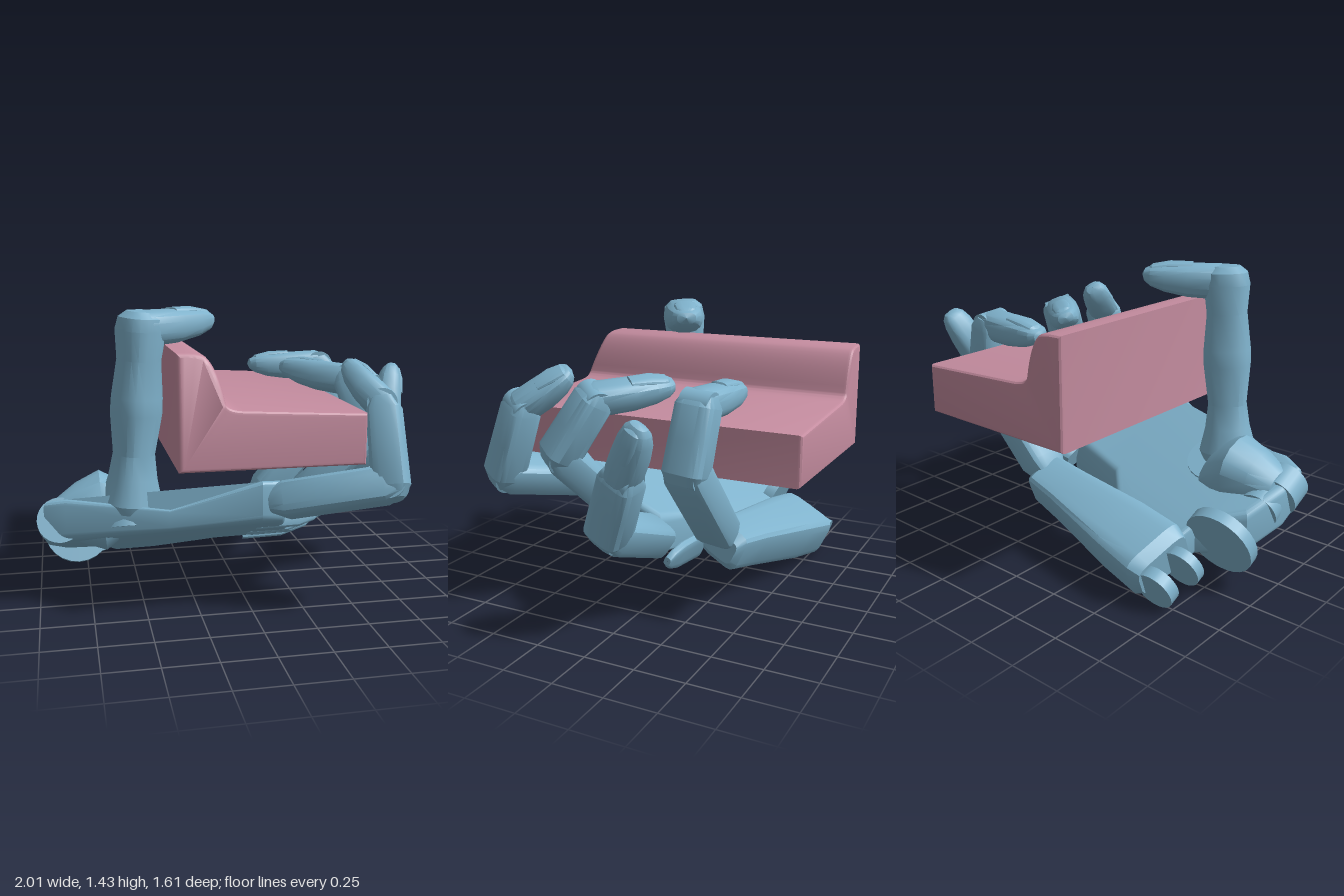
import * as THREE from 'three';
import { toCreasedNormals } from 'three/addons/utils/BufferGeometryUtils.js';

const blue = new THREE.MeshStandardMaterial({ color: 0x7fb2cc });
const pink = new THREE.MeshStandardMaterial({ color: 0xc48c9f });
const V = (x, y, z) => new THREE.Vector3(x, y, z);
const SLOPE = 0.43;
const palmY = z => 0.21 + SLOPE * z; // underside of the tilted palm
const across = V(0, SLOPE, 1).normalize(); // hinge direction of the wrist

function mesh(name, geometry, material = blue) {
  const m = new THREE.Mesh(geometry, material);
  m.name = name;
  return m;
}

// Loft of rounded-box sections; stations are [t, half width, half depth, lift]
function loft(name, a, b, hinge, stations, power = 0.5, sides = 16) {
  const dir = b.clone().sub(a).normalize();
  const h = hinge.clone().addScaledVector(dir, -hinge.dot(dir)).normalize();
  const q = dir.clone().cross(h);
  const soft = c => Math.sign(c) * Math.abs(c) ** power;
  const pos = [], index = [];
  stations.forEach(([t, w, d, lift = 0], i) => {
    for (let j = 0; j < sides; j++) {
      const ang = (j + 0.5) / sides * Math.PI * 2;
      const p = a.clone().lerp(b, t)
        .addScaledVector(h, w * soft(Math.cos(ang)))
        .addScaledVector(q, d * soft(Math.sin(ang)) + lift);
      pos.push(p.x, p.y, p.z);
      if (i === 0) continue;
      const k = (j + 1) % sides, r = i * sides, s = r - sides;
      index.push(s + j, s + k, r + j, s + k, r + k, r + j);
    }
  });
  const g = new THREE.BufferGeometry();
  g.setAttribute('position', new THREE.Float32BufferAttribute(pos, 3));
  g.setIndex(index);
  return mesh(name, toCreasedNormals(g, 0.5));
}

// Phalanx with chamfered ends
const bone = (w0, d0, w1, d1) => [
  [0, 0.001, 0.001], [0, w0 * 0.75, d0 * 0.65], [0.12, w0, d0], [0.5, (w0 + w1) / 2, (d0 + d1) / 2],
  [0.88, w1, d1], [1, w1 * 0.8, d1 * 0.65], [1, 0.001, 0.001]];

// Rounded fingertip, slimmer on the pad side
const tipStations = (w, d) => [
  [0, 0.001, 0.001], [0, w * 0.8, d * 0.8], [0.1, w, d], [0.5, w, d * 0.95], [0.75, w * 0.92, d * 0.8, 0.006],
  [0.9, w * 0.75, d * 0.58, 0.012], [0.97, w * 0.5, d * 0.34, 0.016], [1, 0.001, 0.001, 0.018]];

function fingertip(g, a, b, hinge, w, d) {
  g.add(loft('fingertip', a, b, hinge, tipStations(w, d), 0.75));
  g.add(loft('nail', a.clone().lerp(b, 0.45), a.clone().lerp(b, 0.97), hinge, [
    [0, 0.001, 0.001, d * 0.8], [0.04, w * 0.5, 0.02, d * 0.8], [0.5, w * 0.6, 0.025, d * 0.72],
    [0.85, w * 0.5, 0.02, d * 0.57], [1, 0.001, 0.001, d * 0.45]], 0.7));
}

function joint(name, p, axis, r, len) {
  const m = mesh(name, new THREE.CylinderGeometry(r, r, len, 24));
  m.position.copy(p);
  m.quaternion.setFromUnitVectors(V(0, 1, 0), axis);
  return m;
}

function finger(name, [p0, p1, p2, p3], forked) {
  const g = new THREE.Group();
  g.name = name;
  const hinge = p1.clone().sub(p0).cross(p3.clone().sub(p1)).normalize();
  const toward = (a, b, s) => a.clone().addScaledVector(b.clone().sub(a).normalize(), s);
  g.add(loft('proximalBone', p0, toward(p1, p0, -0.05), hinge, bone(0.105, 0.088, 0.103, 0.088)));
  g.add(loft('middleBone', toward(p1, p2, -0.06), toward(p2, p1, -0.045), hinge, bone(0.1, 0.088, 0.097, 0.08)));
  g.add(joint('fingerJoint', p1, hinge, 0.075, 0.15), joint('fingerJoint', p2, hinge, 0.07, 0.14));
  fingertip(g, toward(p2, p3, -0.03), p3, hinge, 0.082, 0.077);
  // Fork plates holding the knuckle
  if (forked) for (const s of [-1, 1]) {
    const c = p0.clone().addScaledVector(across, s * 0.11).add(V(0, -0.02, 0));
    g.add(loft('knuckleFork', c.clone().add(V(-0.2, -0.02, -0.03)), c.clone().add(V(0.12, -0.01, 0)), across, [
      [0, 0.001, 0.001], [0, 0.025, 0.08], [0.65, 0.025, 0.075], [0.9, 0.022, 0.05], [1, 0.018, 0.02], [1, 0.001, 0.001]]));
  }
  return g;
}

function createBlock() {
  const s = new THREE.Shape();
  s.moveTo(-0.35, 0.75);
  s.lineTo(0.47, 0.75);
  s.lineTo(0.47, 0.95);
  s.lineTo(-0.08, 0.98);
  s.quadraticCurveTo(-0.17, 0.985, -0.18, 1.03);
  s.quadraticCurveTo(-0.205, 1.17, -0.25, 1.215);
  s.quadraticCurveTo(-0.27, 1.23, -0.35, 1.23);
  s.closePath();
  const g = new THREE.ExtrudeGeometry(s, {
    depth: 1.44, bevelEnabled: true, bevelSize: 0.02, bevelThickness: 0.02, bevelSegments: 3, curveSegments: 8 });
  g.translate(0, 0, -0.78);
  // Slope the front end of the ridge
  const p = g.attributes.position;
  for (let i = 0; i < p.count; i++) {
    if (p.getZ(i) > 0 && p.getY(i) > 1.02) p.setZ(i, p.getZ(i) - (p.getY(i) - 1.02) * 0.35);
  }
  return mesh('heldBlock', toCreasedNormals(g, 0.5), pink);
}

function createPalm() {
  const outline = [[-0.93, 0.08], [-0.93, 0.2], [-0.85, 0.24], [-0.37, 0.37], [0.04, 0.5], [0.12, 0.48],
    [0.18, 0.28], [0.25, 0.1], [0.25, 0.02], [-0.08, -0.06], [-0.38, -0.36], [-0.58, -0.4], [-0.64, -0.2], [-0.86, -0.1]];
  const s = new THREE.Shape(outline.map(([x, z]) => new THREE.Vector2(x, -z)));
  const g = new THREE.ExtrudeGeometry(s, {
    depth: 0.13, bevelEnabled: true, bevelSize: 0.035, bevelThickness: 0.035, bevelSegments: 4 });
  g.rotateX(-Math.PI / 2);
  // Tilt the slab and thin it towards the middle of the palm
  const p = g.attributes.position;
  for (let i = 0; i < p.count; i++) {
    const thick = 0.55 + 0.5 * Math.min(1, Math.abs(p.getX(i) + 0.37) / 0.42);
    p.setY(i, (p.getY(i) + 0.035) * thick + palmY(p.getZ(i)));
  }
  return mesh('palm', toCreasedNormals(g, 0.5));
}

export function createModel() {
  const root = new THREE.Group();
  root.name = 'handHoldingBlock';
  root.add(createBlock(), createPalm());

  // Outer palm segment carrying the little finger, widening to the wrist
  root.add(loft('outerPalm', V(-0.66, 0.16, -0.45), V(0.24, 0.3, -0.31), V(0, 0.42, 0.9), [
    [0, 0.001, 0.001], [0, 0.15, 0.08], [0.06, 0.17, 0.12], [0.3, 0.16, 0.125],
    [0.75, 0.12, 0.11], [0.95, 0.11, 0.1], [1, 0.09, 0.06], [1, 0.001, 0.001]], 0.4));

  // Wrist hinge plates: [x, z, radius, thickness]
  const plates = [[-0.68, -0.53, 0.1, 0.06], [-0.72, -0.39, 0.1, 0.05], [-0.8, -0.2, 0.175, 0.06],
    [-0.86, 0.04, 0.1, 0.07], [-0.89, 0.17, 0.11, 0.13]];
  for (const [x, z, r, t] of plates) {
    root.add(joint('wristPlate', V(x, palmY(z) + 0.11, z), across, r, t));
  }

  // Thumb on its round mount, with a broad raised web behind it
  const thumb = new THREE.Group();
  thumb.name = 'thumb';
  const hinge = V(0.42, 0, 0.75).normalize();
  thumb.add(joint('thumbMount', V(-0.55, 0.41, 0.18), V(0, 1, -SLOPE).normalize(), 0.17, 0.14));
  thumb.add(loft('thumbWeb', V(-0.92, 0.41, 0.12), V(-0.52, 0.44, 0.13), across, [
    [0, 0.001, 0.001], [0.04, 0.1, 0.08], [0.3, 0.14, 0.15], [0.6, 0.17, 0.2], [0.75, 0.17, 0.16],
    [0.95, 0.15, 0.08], [1, 0.001, 0.001]], 0.9));
  thumb.add(loft('thumbColumn', V(-0.55, 0.42, 0.22), V(-0.48, 1.4, 0.25), hinge, [
    [0, 0.001, 0.001], [0.02, 0.12, 0.12], [0.08, 0.14, 0.14], [0.2, 0.115, 0.11], [0.32, 0.095, 0.095],
    [0.52, 0.12, 0.115], [0.6, 0.115, 0.115], [0.78, 0.1, 0.098], [0.92, 0.115, 0.112],
    [0.98, 0.105, 0.1], [1.01, 0.07, 0.065], [1.02, 0.001, 0.001]], 0.8));
  fingertip(thumb, V(-0.52, 1.33, 0.28), V(-0.12, 1.34, 0.05), V(-0.5, 0, -0.86), 0.1, 0.085);
  root.add(thumb);

  // Fingers from front to back: base, two joints, tip
  root.add(finger('indexFinger', [V(0.1, 0.52, 0.47), V(0.6, 0.64, 0.7), V(0.6, 0.98, 0.58), V(0.47, 1.15, 0.36)], false));
  root.add(finger('middleFinger', [V(0.26, 0.41, 0.22), V(0.64, 0.79, 0.34), V(0.57, 1.05, 0.19), V(0.27, 1.08, -0.08)], true));
  root.add(finger('ringFinger', [V(0.28, 0.31, 0), V(0.82, 0.52, -0.03), V(0.9, 0.8, -0.15), V(0.95, 1.07, -0.28)], true));
  root.add(finger('littleFinger', [V(0.2, 0.33, -0.3), V(0.62, 0.78, -0.315), V(0.55, 1.07, -0.34), V(0.16, 1.06, -0.37)], false));
  return root;
}
